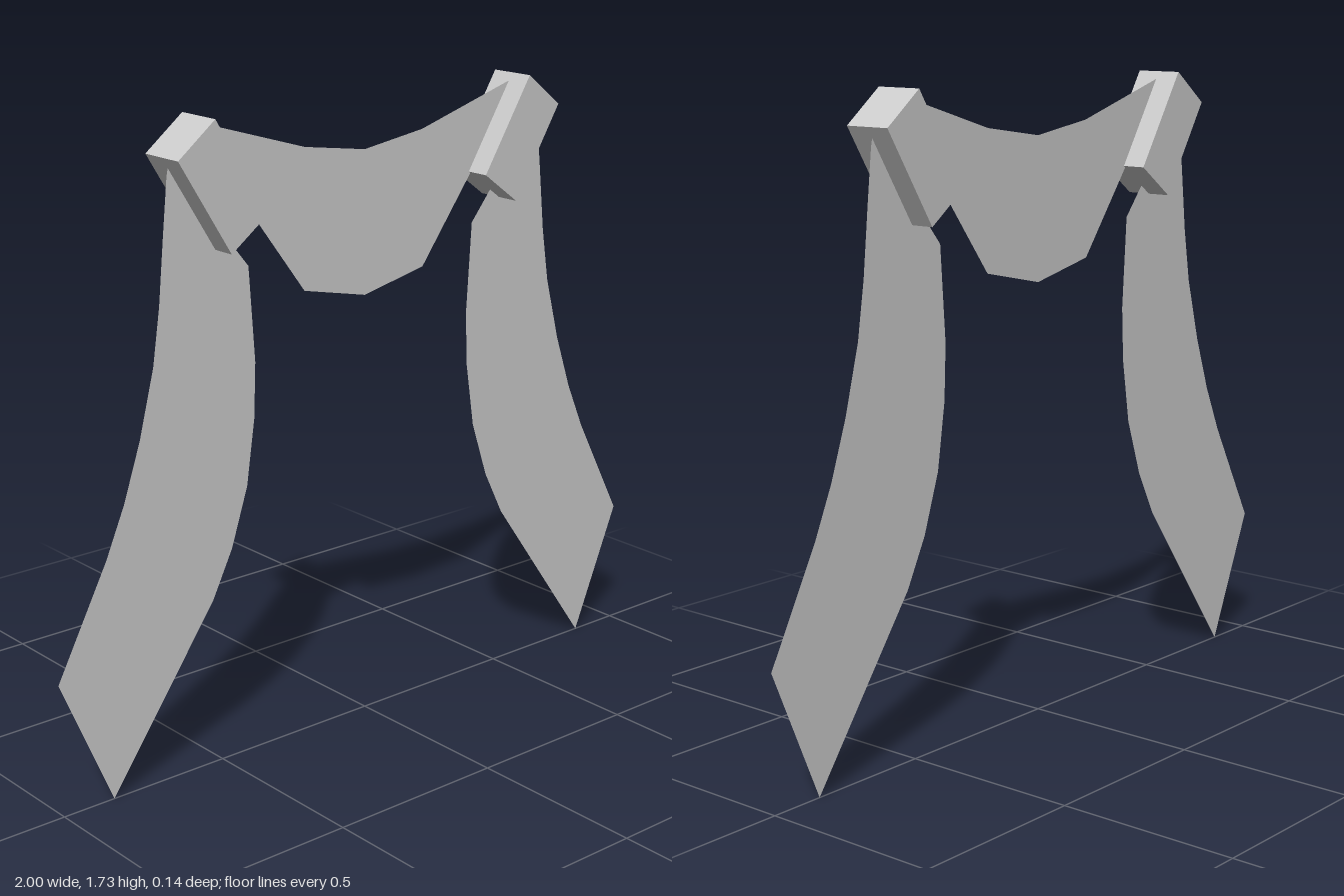
import * as THREE from 'three';

const cloth = new THREE.MeshStandardMaterial({ color: 0xcccccc, flatShading: true, side: THREE.DoubleSide });
const solid = new THREE.MeshStandardMaterial({ color: 0xcccccc, flatShading: true });

// Outline from [x, y] points, optionally mirrored across x = 0
const outline = (points, side = 1) =>
  new THREE.Shape(points.map(([x, y]) => new THREE.Vector2(side * x, y)));

function addMesh(parent, name, geometry, material) {
  const mesh = new THREE.Mesh(geometry, material);
  mesh.name = name;
  parent.add(mesh);
}

export function createModel() {
  const model = new THREE.Group();
  model.name = 'drapedScarf';

  // Flat swag hanging between the two knots
  const halfSwag = [[0.205, 1.245], [0.375, 1.475], [0.47, 1.6], [0.53, 1.72], [0.2, 1.62]];
  const mirrored = halfSwag.map(([x, y]) => [-x, y]).reverse();
  addMesh(model, 'swag', new THREE.ShapeGeometry(
    outline([[0, 1.2], ...halfSwag, [0, 1.59], ...mirrored])), cloth);

  // Flat hanging tail: outer edge downwards, tip, inner edge upwards
  const tail = [
    [0.615, 1.67], [0.63, 1.6], [0.645, 1.46], [0.663, 1.28], [0.686, 1.13],
    [0.733, 0.95], [0.786, 0.795], [0.845, 0.66], [1, 0.367], [0.848, 0.005],
    [0.52, 0.465], [0.455, 0.595], [0.402, 0.755], [0.375, 0.935], [0.369, 1.085],
    [0.386, 1.34], [0.455, 1.425], [0.52, 1.54],
  ];

  // Slanted knot block
  const knot = [[0.53, 1.737], [0.643, 1.648], [0.488, 1.397], [0.372, 1.483]];
  const depth = 0.135;

  for (const [side, label] of [[1, 'left'], [-1, 'right']]) {
    addMesh(model, label + 'Tail', new THREE.ShapeGeometry(outline(tail, side)), cloth);
    const block = new THREE.ExtrudeGeometry(outline(knot, side), { depth, bevelEnabled: false });
    block.translate(0, 0, -depth / 2);
    addMesh(model, label + 'Knot', block, solid);
  }
  return model;
}
